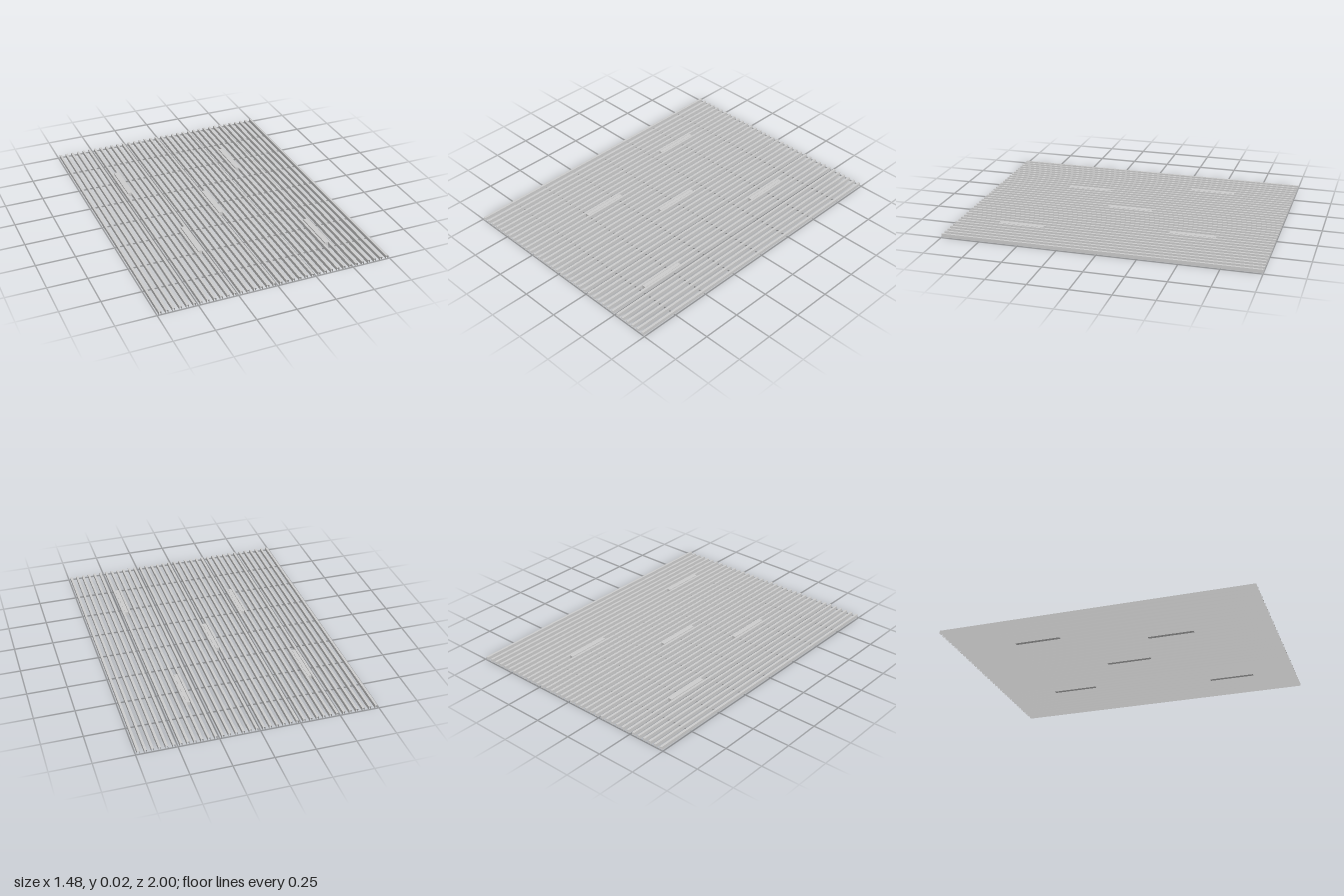
import * as THREE from 'three';

const SLATS = 36;
const WIDTH = 0.015;
const PITCH = (1.48 - WIDTH) / (SLATS - 1);
const HEIGHT = 0.022;
const LENGTH = 2;

// Channel-shaped slat: a top and two walls, open below and at both ends
function channelGeometry() {
  const w = WIDTH / 2, l = LENGTH / 2;
  const section = [[-w, 0], [-w, HEIGHT], [w, HEIGHT], [w, 0]];
  const positions = [];
  for (let i = 0; i < 3; i++) {
    const [ax, ay] = section[i], [bx, by] = section[i + 1];
    positions.push(
      ax, ay, -l, ax, ay, l, bx, by, l,
      ax, ay, -l, bx, by, l, bx, by, -l,
    );
  }
  const geometry = new THREE.BufferGeometry();
  geometry.setAttribute('position', new THREE.Float32BufferAttribute(positions, 3));
  geometry.computeVertexNormals();
  return geometry;
}

export function createModel() {
  const model = new THREE.Group();
  model.name = 'slattedPanel';
  const sheet = new THREE.MeshStandardMaterial({ color: 0xcccccc, side: THREE.DoubleSide });
  const solid = new THREE.MeshStandardMaterial({ color: 0xcccccc });

  // Row of parallel slats
  const slats = new THREE.Group();
  slats.name = 'slats';
  const slatGeometry = channelGeometry();
  for (let i = 0; i < SLATS; i++) {
    const slat = new THREE.Mesh(slatGeometry, sheet);
    slat.name = 'slat';
    slat.position.x = (i - (SLATS - 1) / 2) * PITCH;
    slats.add(slat);
  }
  model.add(slats);

  // Solid blocks lying in some of the gaps, against the slat on their +x side: [gap number, z]
  const blocks = new THREE.Group();
  blocks.name = 'spacerBlocks';
  const blockWidth = 0.023, blockHeight = 0.024;
  const blockOffset = (PITCH - WIDTH - blockWidth) / 2;
  const blockGeometry = new THREE.BoxGeometry(blockWidth, blockHeight, 0.295);
  for (const [gap, z] of [[-11, -0.457], [8, -0.497], [0, 0], [-7, 0.367], [11, 0.581]]) {
    const block = new THREE.Mesh(blockGeometry, solid);
    block.name = 'spacerBlock';
    block.position.set(gap * PITCH + blockOffset, blockHeight / 2, z);
    blocks.add(block);
  }
  model.add(blocks);

  return model;
}
